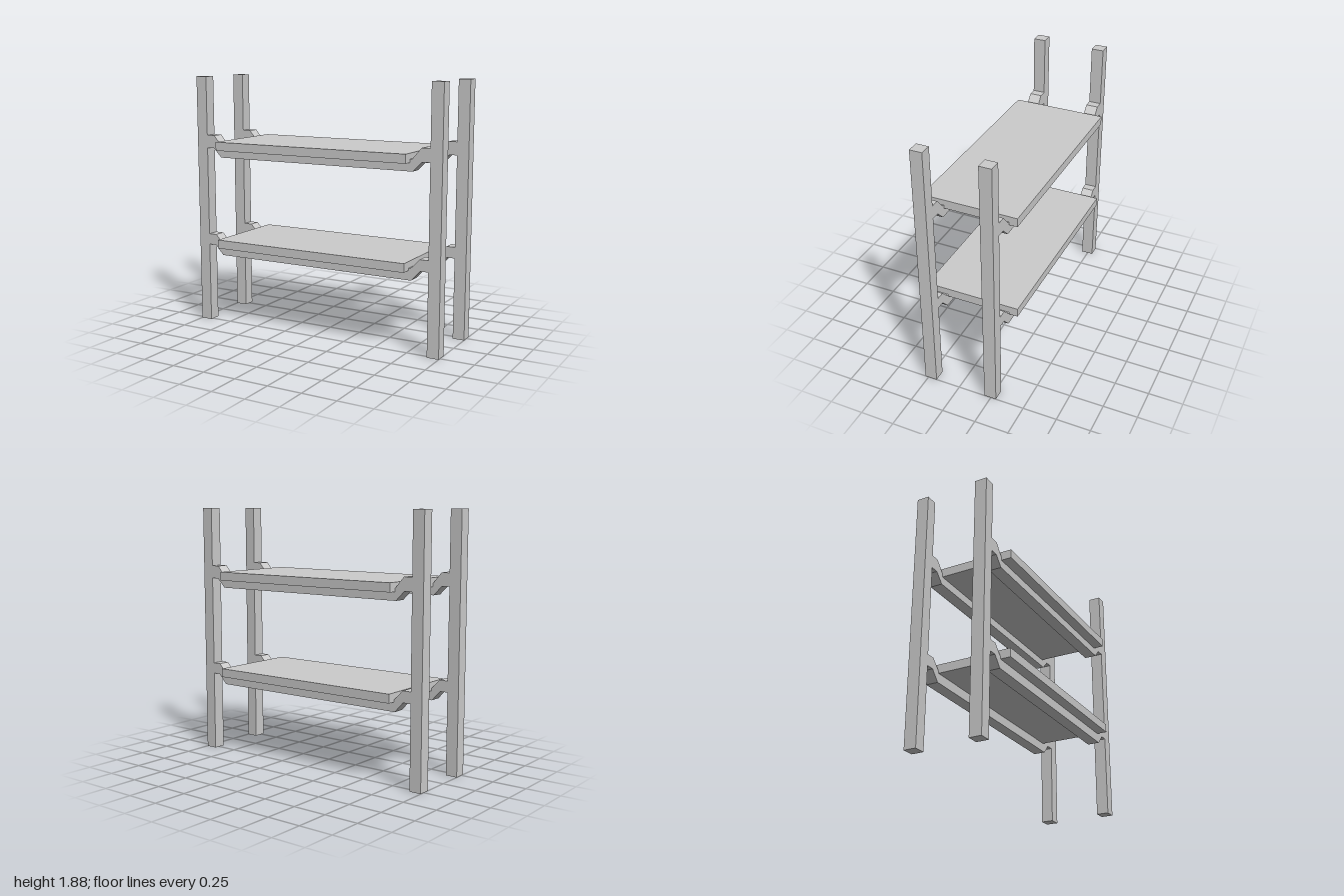
import * as THREE from 'three';

const POST_W = 0.088, POST_H = 1.88, POST_D = 0.09;
const RAIL_Z = [0.229, -0.245];
// heights of each tier: end arm top/bottom, dropped rail top/bottom, board top/bottom
const TIERS = [
  { name: 'lower', armTop: 0.682, armBottom: 0.6, railTop: 0.612, railBottom: 0.528, boardTop: 0.66, boardBottom: 0.596 },
  { name: 'upper', armTop: 1.441, armBottom: 1.345, railTop: 1.362, railBottom: 1.278, boardTop: 1.402, boardBottom: 1.338 },
];

export function createModel() {
  const group = new THREE.Group();
  const material = new THREE.MeshStandardMaterial({ color: 0xcccccc, flatShading: true });

  function add(name, geometry, x, y, z) {
    const mesh = new THREE.Mesh(geometry, material);
    mesh.name = name;
    mesh.position.set(x, y, z);
    group.add(mesh);
  }

  // Four square posts
  const postGeometry = new THREE.BoxGeometry(POST_W, POST_H, POST_D);
  for (const z of RAIL_Z) {
    for (const side of [-1, 1]) {
      const name = (z > 0 ? 'front' : 'back') + (side > 0 ? 'Left' : 'Right') + 'Post';
      add(name, postGeometry, side * (1 - POST_W / 2), POST_H / 2, z);
    }
  }

  for (const t of TIERS) {
    // Dropped rail: one half of the outline, mirrored for the other
    const end = 1 - POST_W;
    const top = [[end, t.armTop], [0.848, t.armTop], [0.78, t.railTop]];
    const bottom = [[0.786, t.railBottom], [0.852, t.armBottom], [end, t.armBottom]];
    const mirror = (points) => points.map(([x, y]) => [-x, y]).reverse();
    const outline = [...top, ...mirror(top), ...mirror(bottom), ...bottom];
    const shape = new THREE.Shape(outline.map(([x, y]) => new THREE.Vector2(x, y)));
    const railGeometry = new THREE.ExtrudeGeometry(shape, { depth: POST_D, bevelEnabled: false });
    for (const z of RAIL_Z) {
      add(t.name + (z > 0 ? 'FrontRail' : 'BackRail'), railGeometry, 0, 0, z - POST_D / 2);
    }

    // Shelf board resting in the rails
    const board = new THREE.BoxGeometry(1.546, t.boardTop - t.boardBottom, 0.7);
    add(t.name + 'Shelf', board, -0.007, (t.boardTop + t.boardBottom) / 2, -0.001);
  }

  return group;
}
